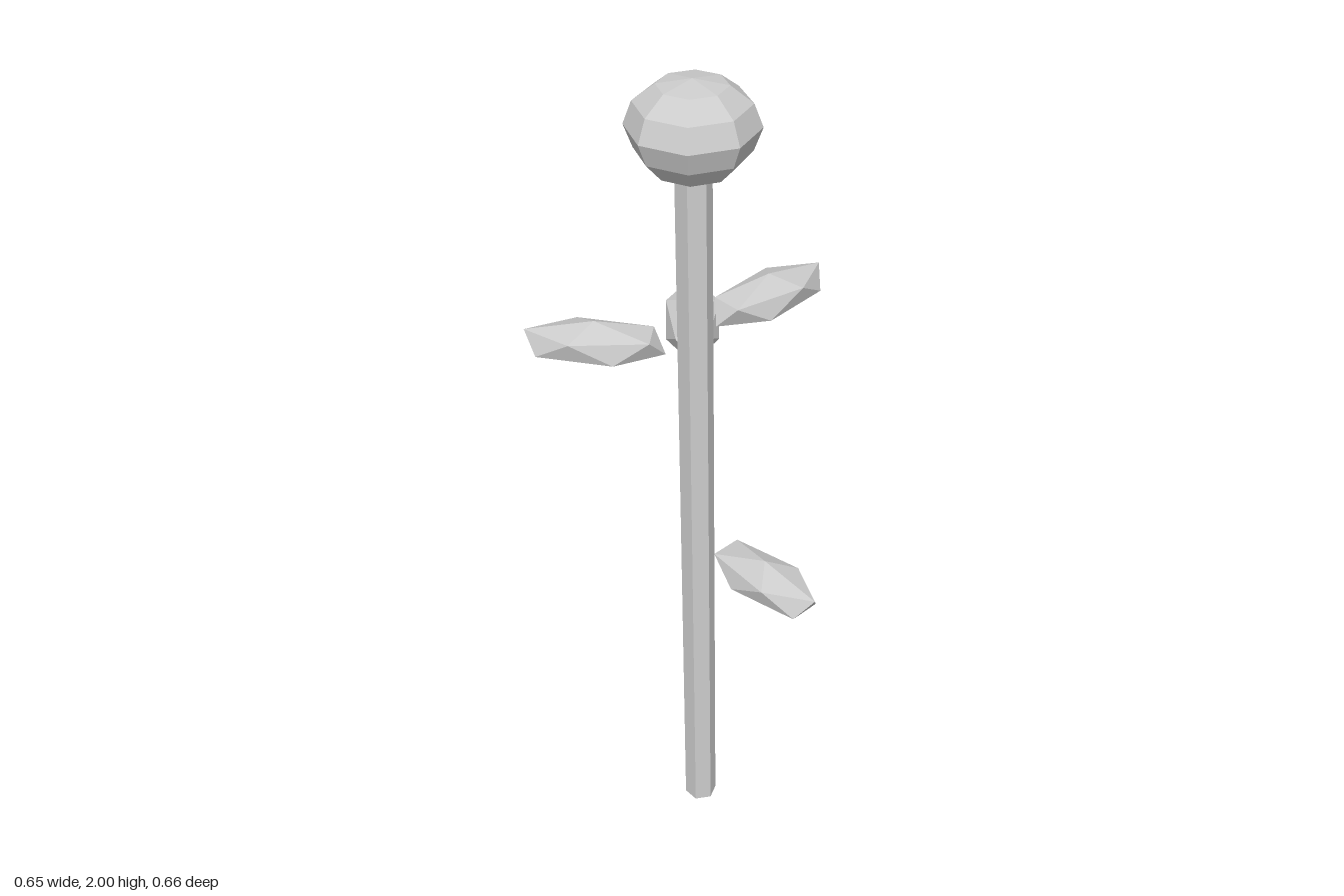
import * as THREE from 'three';
import { ConvexGeometry } from 'three/addons/geometries/ConvexGeometry.js';

const material = new THREE.MeshStandardMaterial({ color: 0xcccccc, flatShading: true });
const STEM_X = -0.05, STEM_Z = -0.043;

// Stretched twenty-sided leaf: poles up and down, tip of the upper ring along +z
function leafGeometry(halfWidth, halfHeight, halfLength) {
  const points = [new THREE.Vector3(0, halfHeight, 0), new THREE.Vector3(0, -halfHeight, 0)];
  for (let i = 0; i < 5; i++) {
    const a = (i * Math.PI * 2) / 5;
    const x = Math.sin(a) * 0.894 * halfWidth;
    const z = Math.cos(a) * 0.894 * halfLength;
    points.push(new THREE.Vector3(x, 0.447 * halfHeight, z));
    points.push(new THREE.Vector3(x, -0.447 * halfHeight, -z));
  }
  return new ConvexGeometry(points);
}

export function createModel() {
  const group = new THREE.Group();
  const add = (name, geometry, x, y, z) => {
    const mesh = new THREE.Mesh(geometry, material);
    mesh.name = name;
    mesh.position.set(x, y, z);
    group.add(mesh);
    return mesh;
  };

  // Six-sided stem
  add('stem', new THREE.CylinderGeometry(0.04, 0.04, 1.84, 6), STEM_X, 0.92, STEM_Z);

  // Eight-sided flattened flower head
  const profile = [[0, -0.1], [0.085, -0.093], [0.123, -0.05], [0.142, 0], [0.123, 0.05], [0.075, 0.087], [0, 0.1]]
    .map(([r, y]) => new THREE.Vector2(r, y));
  add('flowerHead', new THREE.LatheGeometry(profile, 8), STEM_X, 1.9, STEM_Z);

  // Leaves: name, centre, and outward direction in x and z
  const leaf = leafGeometry(0.072, 0.052, 0.174);
  const leaves = [
    ['frontLeaf', -0.035, 0.852, 0.175, 0.01, 0.155],
    ['leftLeaf', 0.166, 1.432, -0.043, 1, 0],
    ['backLeftLeaf', 0.085, 1.323, -0.212, 0.104, -0.122],
    ['backRightLeaf', -0.215, 1.395, -0.188, -0.106, -0.113],
  ];
  for (const [name, x, y, z, dx, dz] of leaves) {
    add(name, leaf, x, y, z).rotation.y = Math.atan2(dx, dz);
  }
  return group;
}
